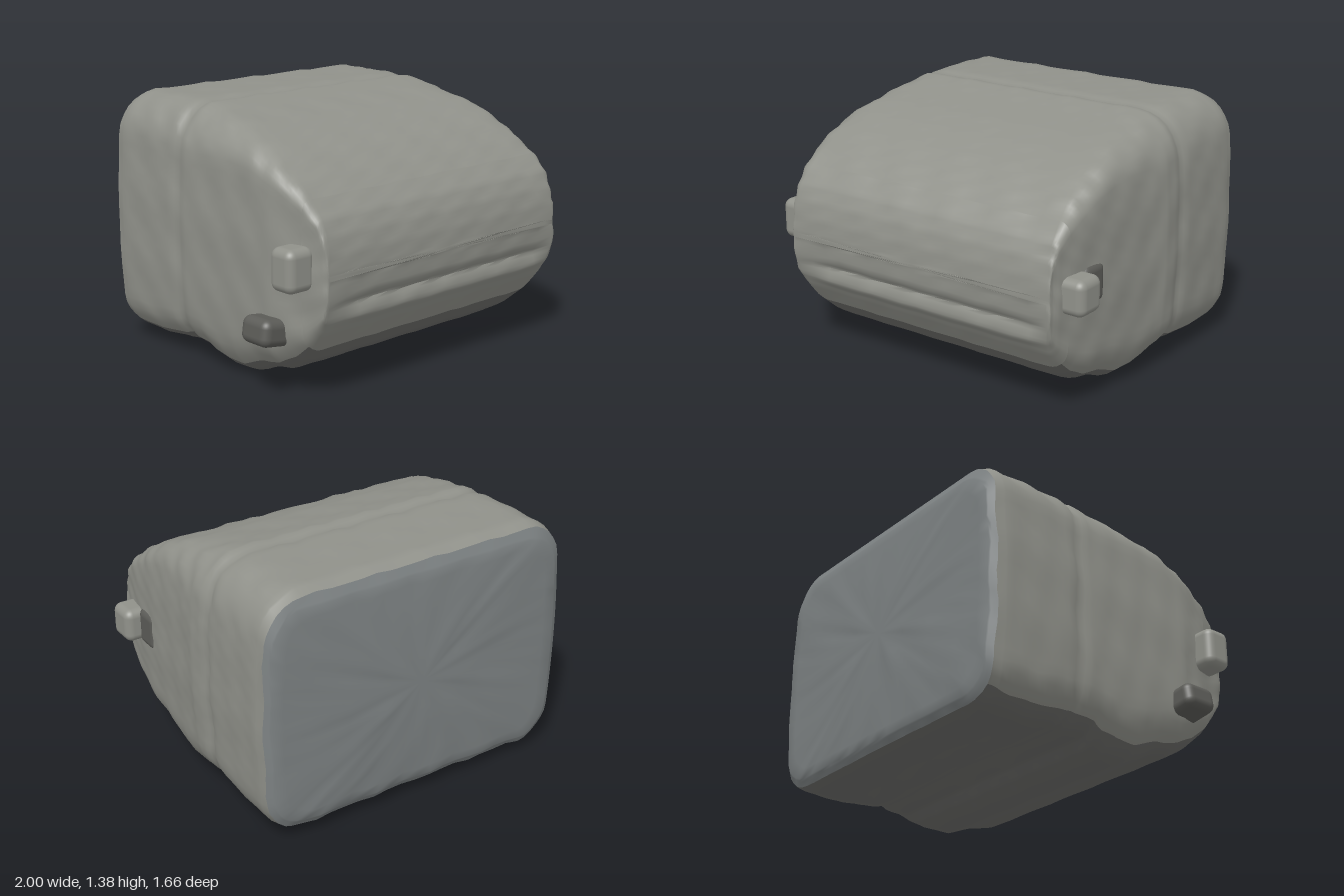
import * as THREE from 'three';
import { toCreasedNormals } from 'three/addons/utils/BufferGeometryUtils.js';
import { RoundedBoxGeometry } from 'three/addons/geometries/RoundedBoxGeometry.js';

const SHELL = 0x90918a, BACK = 0x7d8283, UNDERSIDE = 0x6c6c69, DARK = 0x5c5c58;

// Body stations, front to back: z, top, bottom, left edge x, right edge x, top radius, bottom radius
const STATIONS = [
  [0.838, 0.69, 0.66, -0.79, 0.83, 0.012, 0.012],
  [0.830, 0.78, 0.54, -0.79, 0.84, 0.02, 0.02],
  [0.808, 0.87, 0.45, -0.80, 0.84, 0.03, 0.03],
  [0.77, 0.95, 0.38, -0.81, 0.85, 0.04, 0.06],
  [0.69, 1.035, 0.27, -0.83, 0.86, 0.06, 0.11],
  [0.60, 1.11, 0.185, -0.85, 0.87, 0.08, 0.16],
  [0.48, 1.19, 0.115, -0.87, 0.88, 0.10, 0.19],
  [0.34, 1.255, 0.08, -0.87, 0.89, 0.12, 0.22],
  [0.19, 1.305, 0.02, -0.87, 0.90, 0.15, 0.23],
  [0.06, 1.335, 0.02, -0.87, 0.91, 0.18, 0.23],
  [-0.03, 1.355, 0.045, -0.87, 0.92, 0.20, 0.22],
  [-0.09, 1.37, 0.08, -0.87, 0.93, 0.22, 0.20],
  [-0.18, 1.39, 0.085, -0.87, 0.93, 0.23, 0.20],
  [-0.32, 1.39, 0.08, -0.87, 0.93, 0.22, 0.20],
  [-0.50, 1.39, 0.06, -0.87, 0.93, 0.21, 0.20],
  [-0.71, 1.39, 0.07, -0.87, 0.93, 0.21, 0.19],
  [-0.765, 1.365, 0.085, -0.86, 0.92, 0.20, 0.18],
  [-0.79, 1.31, 0.125, -0.82, 0.89, 0.18, 0.16],
];
const STEPS = 5, ARC = 6, EDGE = 16, SIDE = ARC + EDGE, COUNT = 4 * SIDE;

const bump = (v, centre, width) => Math.exp(-(((v - centre) / width) ** 2));

// Light weathering, a groove and lip low on the front, and a shallow hollow underneath
function shape({ x, y, z }) {
  const w = 0.004 * Math.sin(19 * x - 11 * z) * Math.sin(17 * y + 13 * z) +
    0.003 * Math.sin(37 * x + 23 * y) * Math.sin(31 * z - 29 * y);
  const across = THREE.MathUtils.smoothstep(0.8 - Math.abs(x - 0.05), 0, 0.15);
  const front = z > 0.7 ? across * (0.012 * bump(y, 0.44, 0.03) - 0.025 * bump(y, 0.525, 0.025)) : 0;
  const hollow = y < 0.2 ? 0.035 * bump(x, 0.03, 0.45) * bump(z, -0.4, 0.25) : 0;
  return [x + w * THREE.MathUtils.clamp(x * 2, -1, 1), y + w + hollow, z + w + front];
}

// Rounded rectangle section, counter-clockwise seen from the front
function section([z, top, bottom, x0, x1, rt, rb]) {
  const seam = 0.014 * bump(z, -0.235, 0.035);
  x0 += seam; x1 -= seam; top -= seam; bottom += seam;
  const corners = [
    [x1 - rt, top - rt, rt], [x0 + rt, top - rt, rt],
    [x0 + rb, bottom + rb, rb], [x1 - rb, bottom + rb, rb],
  ];
  const onArc = ([cx, cy, r], a) => [cx + r * Math.cos(a), cy + r * Math.sin(a)];
  const outline = [];
  corners.forEach((corner, k) => {
    for (let i = 0; i < ARC; i++) outline.push(onArc(corner, (k + i / ARC) * Math.PI / 2));
    const end = (k + 1) * Math.PI / 2;
    const [ax, ay] = onArc(corner, end), [bx, by] = onArc(corners[(k + 1) % 4], end);
    for (let i = 0; i < EDGE; i++) {
      const t = i / EDGE;
      outline.push([ax + (bx - ax) * t, ay + (by - ay) * t]);
    }
  });
  // Sides belly outward slightly around mid height
  const mid = (x0 + x1) / 2;
  return outline.map(([x, y]) => {
    const belly = 1 + 0.03 * Math.max(0, 1 - ((y - 0.72) / 0.55) ** 2);
    return new THREE.Vector3(mid + (x - mid) * belly, y, z);
  });
}

// Concentric copies of a ring closing an end, bulging by depth
function capRings(ring, depth) {
  const centre = ring.reduce((s, p) => s.add(p), new THREE.Vector3()).divideScalar(ring.length);
  return [0.92, 0.75, 0.5, 0.25, 0].map((s) => ring.map((p) => {
    const q = centre.clone().lerp(p, s);
    q.z += depth * (1 - s * s);
    return q;
  }));
}

// Skin over rings, covering the given span of outline points
function loft(rings, start = 0, span = COUNT) {
  const positions = rings.flat().flatMap(shape), index = [];
  for (let i = 0; i < rings.length - 1; i++) {
    for (let j = start; j < start + span; j++) {
      const a = i * COUNT + j % COUNT, b = i * COUNT + (j + 1) % COUNT;
      index.push(a, a + COUNT, b, b, a + COUNT, b + COUNT);
    }
  }
  const geometry = new THREE.BufferGeometry();
  geometry.setAttribute('position', new THREE.Float32BufferAttribute(positions, 3));
  geometry.setIndex(index);
  return toCreasedNormals(geometry, 1);
}

export function createModel() {
  const group = new THREE.Group();
  const add = (name, geometry, color, x = 0, y = 0, z = 0) => {
    const mesh = new THREE.Mesh(geometry, new THREE.MeshStandardMaterial({ color }));
    mesh.name = name;
    mesh.position.set(x, y, z);
    group.add(mesh);
    return mesh;
  };
  const block = (name, color, size, at) => add(name, new RoundedBoxGeometry(...size, 4, 0.045), color, ...at);

  // Body rings, blended between stations
  const rings = [];
  for (let i = 0; i < STATIONS.length - 1; i++) {
    for (let k = 0; k < STEPS; k++) {
      rings.push(section(STATIONS[i].map((v, c) => THREE.MathUtils.lerp(v, STATIONS[i + 1][c], k / STEPS))));
    }
  }
  rings.push(section(STATIONS[STATIONS.length - 1]));

  // Rounded nose, top and sides, underside and back panel
  const noseEnd = 4 * STEPS, backStart = rings.length - 1 - STEPS;
  const bodyRings = rings.slice(noseEnd, backStart + 1);
  const underStart = 2 * SIDE + ARC / 2;
  add('nose', loft([...capRings(rings[0], 0.001).reverse(), ...rings.slice(0, noseEnd + 1)]), SHELL);
  add('shell', loft(bodyRings, underStart + SIDE, COUNT - SIDE), SHELL);
  add('underside', loft(bodyRings, underStart, SIDE), UNDERSIDE);
  const last = rings[rings.length - 1];
  add('backPanel', loft([...rings.slice(backStart), ...capRings(last, -0.025)]), BACK);

  // Side pegs
  block('leftPeg', SHELL, [0.17, 0.19, 0.18], [0.91, 0.68, 0.66]);
  block('leftPegBase', DARK, [0.12, 0.22, 0.18], [0.855, 0.68, 0.51]);
  block('rightUpperPeg', SHELL, [0.17, 0.22, 0.16], [-0.895, 0.71, 0.67]);
  block('rightLowerPeg', DARK, [0.22, 0.14, 0.2], [-0.89, 0.36, 0.49]).rotation.z = -0.15;

  return group;
}
